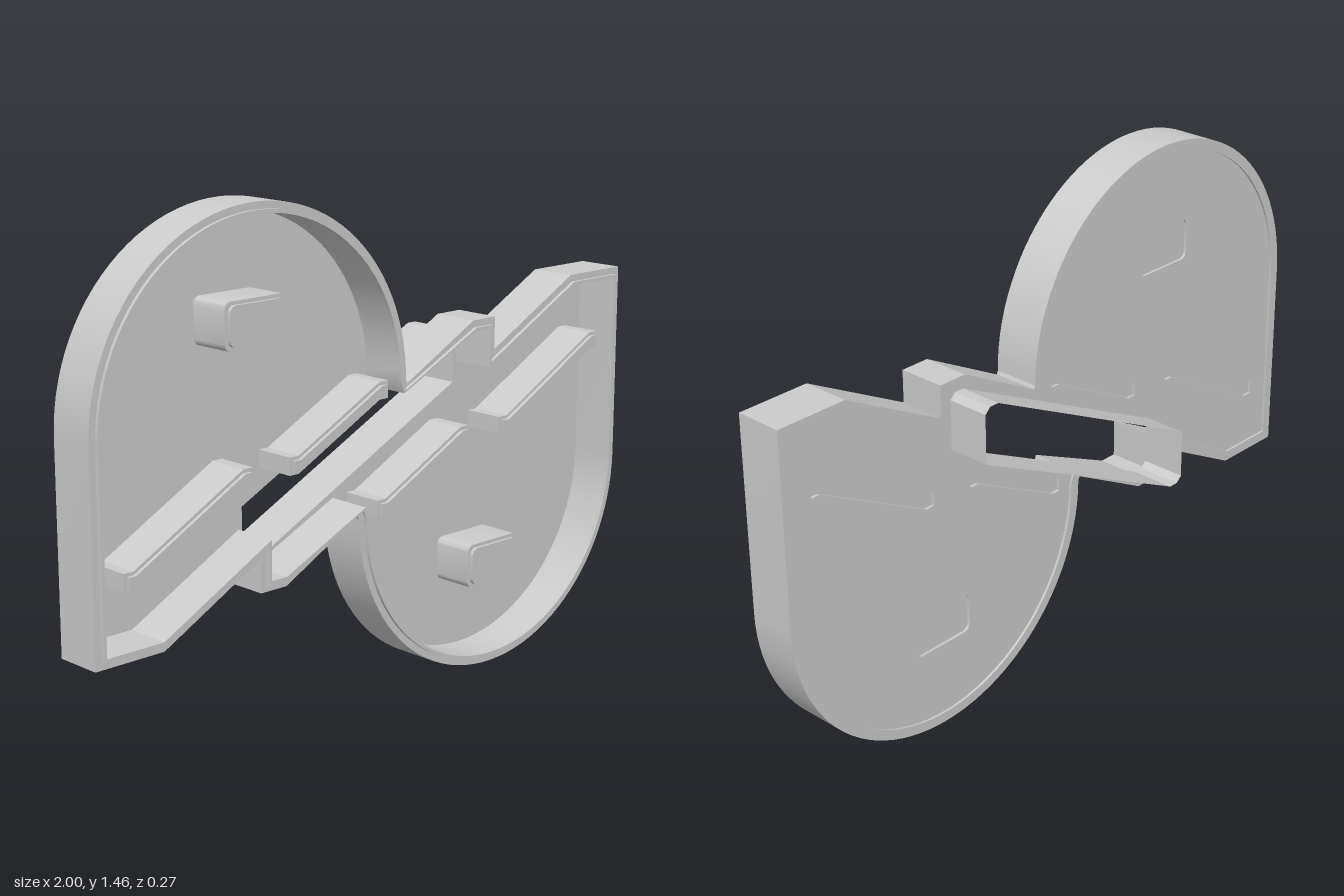
import * as THREE from 'three';
import { toCreasedNormals } from 'three/addons/utils/BufferGeometryUtils.js';

const MID = 1.455; // twice the height of the centre of half-turn symmetry
const turn = (pts) => pts.map(([x, y]) => [-x, MID - y]);

// Points as vectors, always counter-clockwise
function ccw(pts) {
  const v = pts.map(([x, y]) => new THREE.Vector2(x, y));
  return THREE.ShapeUtils.isClockWise(v) ? v.reverse() : v;
}

// Lower half circle of the right-hand lobe, from its right end to its left end
function arc(r) {
  const pts = [];
  for (let i = 0; i <= 48; i++) {
    const a = -Math.PI * i / 48;
    pts.push([0.455 + r * Math.cos(a), 0.545 + r * Math.sin(a)]);
  }
  return pts;
}

// Whole outer outline, inset by d
function outline(d) {
  const half = [
    [0.095 - 0.7 * d, 0.9 - 0.8 * d], [0.36 + 0.2 * d, 1.04 - d],
    [0.45 - d, 1.04 - d], [0.45 - d, 0.945 - 1.62 * d],
    [0.78 + 0.25 * d, 1.12 - d], [1 - d, 1.12 - d], ...arc(0.545 - d),
  ];
  return [...half, ...turn(half)];
}

// Slanted through slot in the middle
const slotHalf = [[0.408, 0.835], [0.408, 0.98], [0.39, 0.997], [0.36, 0.997]];
const slot = [...slotHalf, ...turn(slotHalf)];

// Slanted rib with wider squared ends, inset by d
function rib(x0, x1, y0, y1, d) {
  const t = 0.05 - 2 * d, e = 0.032 - d;
  x0 += d; x1 -= d; y0 += d; y1 -= d;
  return [
    [x0, y0], [x0 + e, y0], [x1 - e, y1 - t], [x1, y1 - t],
    [x1, y1], [x1 - e, y1], [x0 + e, y0 + t], [x0, y0 + t],
  ];
}

// Rounded block profile, inset by d
function block(d) {
  const w = 0.106 - d, h = 0.065 - d, r = 0.02, pts = [];
  [[1, 1], [-1, 1], [-1, -1], [1, -1]].forEach(([sx, sy], k) => {
    for (let i = 0; i <= 4; i++) {
      const a = (k + i / 4) * Math.PI / 2;
      pts.push([0.457 + sx * (w - r) + r * Math.cos(a), 0.31 + sy * (h - r) + r * Math.sin(a)]);
    }
  });
  return pts;
}

function slab(pts, holes, z0, z1) {
  const shape = new THREE.Shape(ccw(pts));
  shape.holes = holes.map((h) => new THREE.Path(ccw(h)));
  const geo = new THREE.ExtrudeGeometry(shape, { depth: z1 - z0, bevelEnabled: false });
  geo.translate(0, 0, z0);
  return toCreasedNormals(geo, 0.4);
}

// Open tube of walls around a counter-clockwise outline
function walls(pts, z0, z1) {
  const pos = [];
  pts.forEach(([ax, ay], i) => {
    const [bx, by] = pts[(i + 1) % pts.length];
    pos.push(ax, ay, z0, bx, by, z0, bx, by, z1, ax, ay, z0, bx, by, z1, ax, ay, z1);
  });
  const geo = new THREE.BufferGeometry();
  geo.setAttribute('position', new THREE.Float32BufferAttribute(pos, 3));
  geo.computeVertexNormals();
  return geo;
}

export function createModel() {
  const group = new THREE.Group();
  const mat = new THREE.MeshStandardMaterial({ color: 0xcccccc });
  const thin = new THREE.MeshStandardMaterial({ color: 0xcccccc, side: THREE.DoubleSide });
  const add = (name, geo, material = mat) => {
    const mesh = new THREE.Mesh(geo, material);
    mesh.name = name;
    group.add(mesh);
  };

  // Outer wall around the single hollow, with a thin raised lip on its front
  const hollow = outline(0.03);
  add('outerWall', slab(outline(0), [hollow], -0.015, 0.125));
  add('frontLip', slab(outline(0.02), [hollow], 0.125, 0.135));

  // Open sleeve behind the slot
  add('rearSleeve', walls(slot, -0.135, 0), thin);

  // Ribs and blocks of both lobes
  const posts = [
    ['InnerRib', (d) => rib(-0.02, 0.345, 0.535, 0.738, d)],
    ['OuterRib', (d) => rib(0.475, 0.905, 0.69, 0.935, d)],
    ['Block', block],
  ];
  const pockets = [];
  for (const [side, place] of [['left', (p) => p], ['right', turn]]) {
    for (const [name, profile] of posts) {
      pockets.push(place(profile(0.004)));
      add(side + name, slab(place(profile(0)), [], 0, 0.125));
      add(`${side}${name}Lip`, slab(place(profile(0.01)), [], 0.125, 0.135));
    }
  }

  // Floor, pierced by the slot and by shallow pockets behind the posts
  add('floor', slab(hollow, [slot, ...pockets], -0.008, 0.002));
  return group;
}
